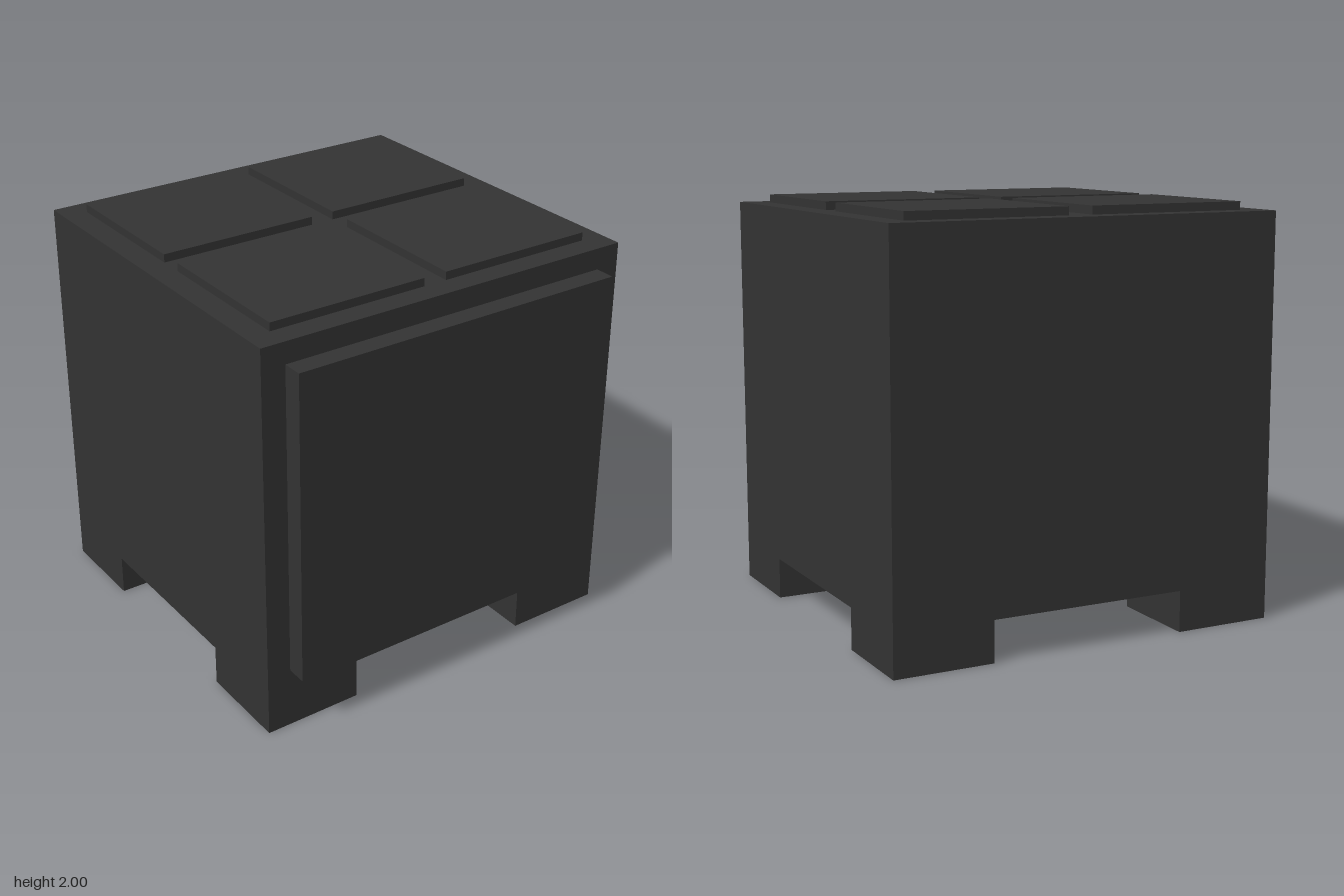
import * as THREE from 'three';

export function createModel() {
  const group = new THREE.Group();
  const material = new THREE.MeshStandardMaterial({ color: 0x333333, flatShading: true });

  // Box given by its extents along each axis
  function block(name, [x0, x1], [y0, y1], [z0, z1]) {
    const mesh = new THREE.Mesh(new THREE.BoxGeometry(x1 - x0, y1 - y0, z1 - z0), material);
    mesh.position.set((x0 + x1) / 2, (y0 + y1) / 2, (z0 + z1) / 2);
    mesh.name = name;
    group.add(mesh);
  }

  // Cabinet body and raised front door
  block('body', [-0.98, 0.98], [0.2, 1.96], [-0.98, 0.88]);
  block('door', [-0.86, 0.86], [0.305, 1.855], [0.88, 0.98]);

  // Corner feet and top plates, two rows on each side
  const rows = [
    { name: 'front', foot: [0.415, 0.88], plate: [0.01, 0.765] },
    { name: 'back', foot: [-0.98, -0.515], plate: [-0.865, -0.11] },
  ];
  for (const row of rows) {
    for (const side of [1, -1]) {
      const label = row.name + (side > 0 ? 'Left' : 'Right');
      const span = (a, b) => (side > 0 ? [a, b] : [-b, -a]);
      block(label + 'Foot', span(0.49, 0.98), [0, 0.2], row.foot);
      block(label + 'TopPlate', span(0.06, 0.86), [1.96, 2], row.plate);
    }
  }
  return group;
}
